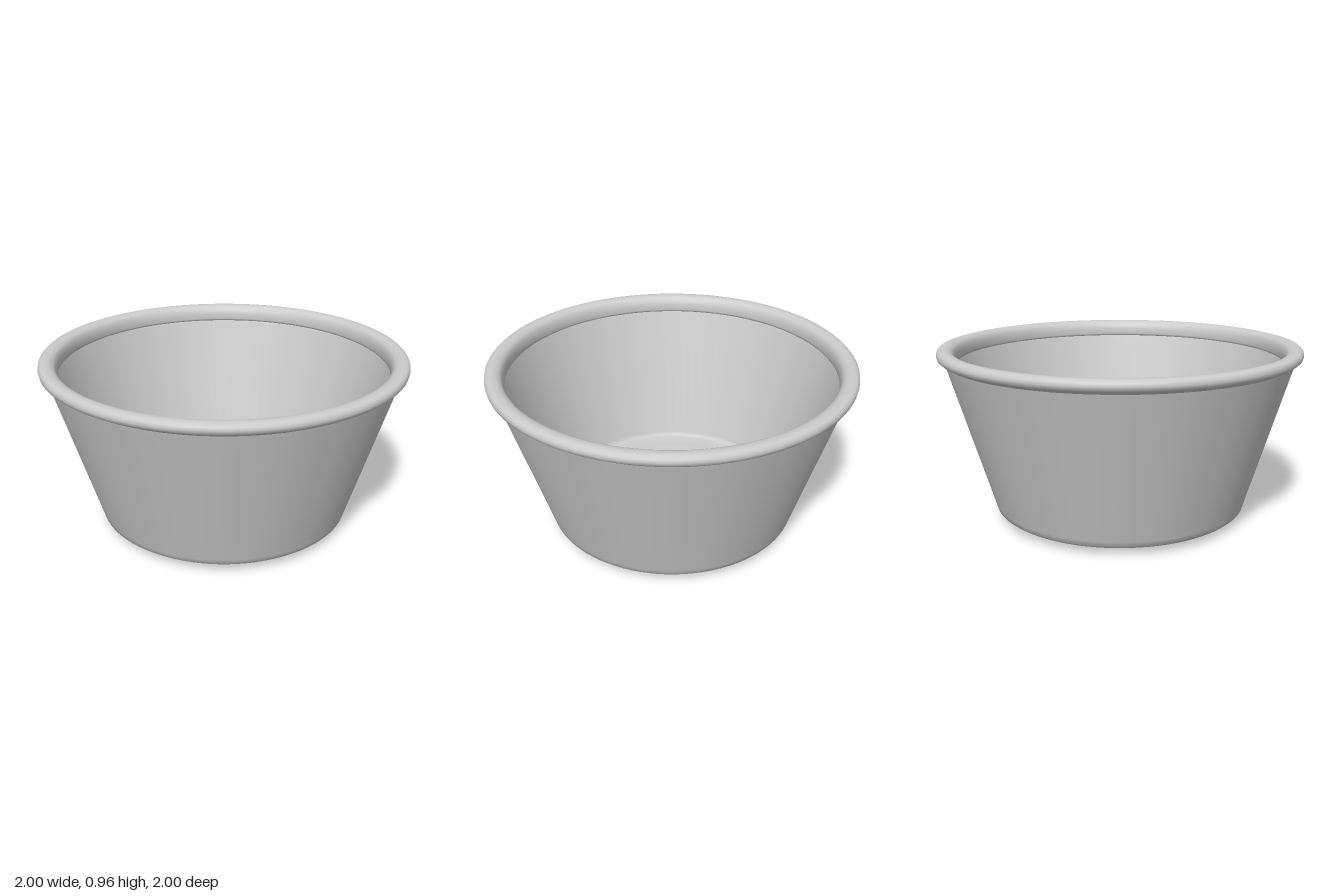
import * as THREE from 'three';

const SEGMENTS = 96;

// Revolves a list of [radius, height] pairs around the y axis
function revolve(name, profile) {
  const points = profile.map(([r, y]) => new THREE.Vector2(r, y));
  const material = new THREE.MeshStandardMaterial({ color: 0xcccccc, side: THREE.DoubleSide });
  const mesh = new THREE.Mesh(new THREE.LatheGeometry(points, SEGMENTS), material);
  mesh.name = name;
  return mesh;
}

export function createModel() {
  const group = new THREE.Group();
  group.name = 'bowl';

  // Underside with a shallow central recess, bevelled foot and tapered wall
  group.add(revolve('outerShell', [
    [0, 0.02], [0.25, 0.02], [0.28, 0.016], [0.32, 0.004], [0.35, 0],
    [0.59, 0], [0.62, 0.006], [0.69, 0.037], [0.71, 0.052], [0.718, 0.08],
    [0.95, 0.86], [0.958, 0.888],
  ]));

  // Rolled rim: bulges outward, rounds over and hangs slightly inside the wall
  group.add(revolve('rim', [
    [0.958, 0.888], [0.966, 0.896], [0.985, 0.904], [0.997, 0.915], [1, 0.93],
    [0.997, 0.946], [0.986, 0.957], [0.965, 0.962], [0.94, 0.96],
    [0.92, 0.95], [0.908, 0.935], [0.902, 0.91], [0.9, 0.88],
    [0.905, 0.868], [0.924, 0.865],
  ]));

  // Inside wall running down to the flat floor
  group.add(revolve('innerShell', [
    [0.924, 0.865], [0.918, 0.845], [0.69, 0.09], [0.682, 0.068], [0.67, 0.06],
    [0.6, 0.052], [0.3, 0.05], [0, 0.05],
  ]));

  return group;
}
